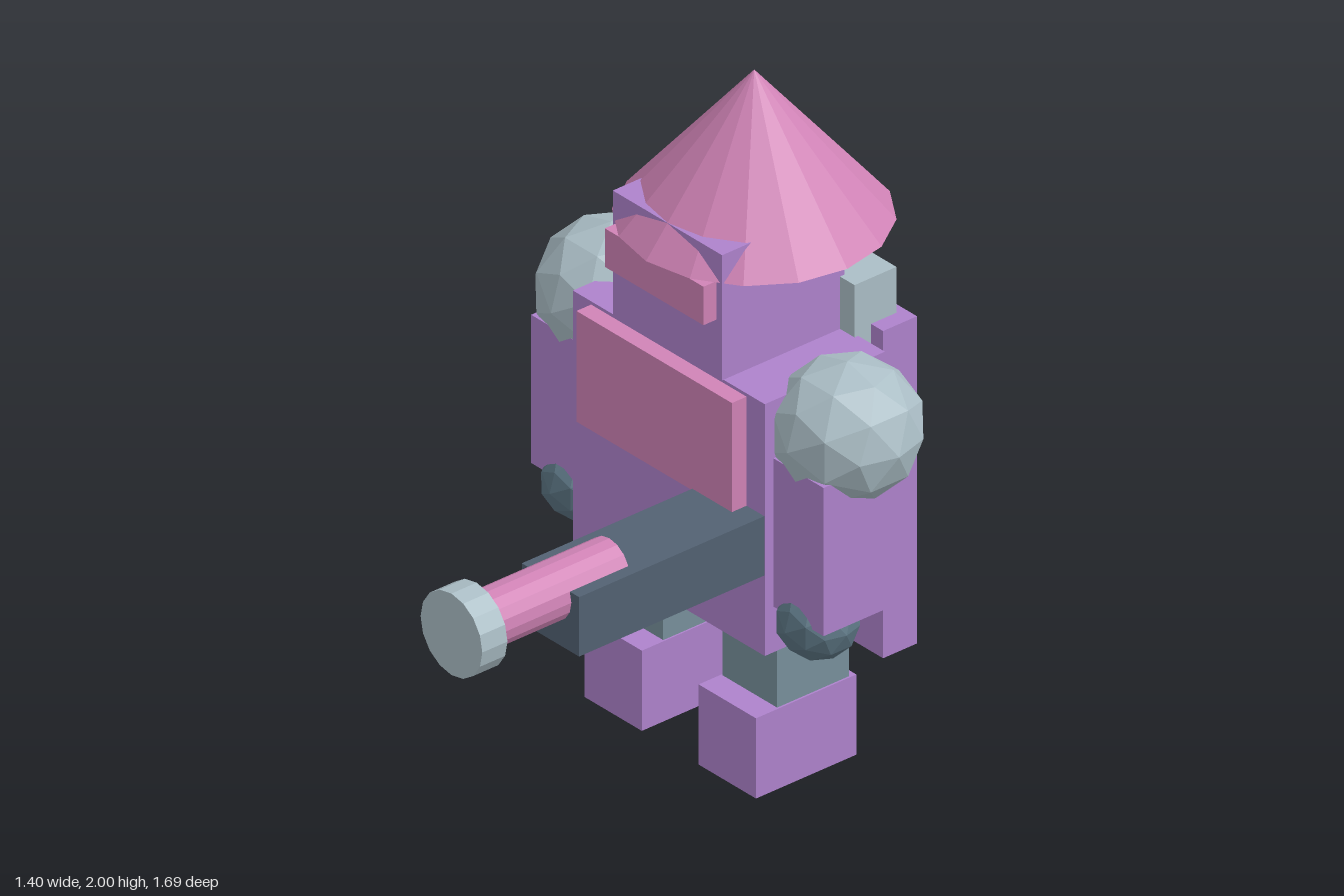
import * as THREE from 'three';

const material = (name, color) => {
  const m = new THREE.MeshStandardMaterial({ color, flatShading: true });
  m.name = name;
  return m;
};

export function createModel() {
  const model = new THREE.Group();
  model.name = 'robot';

  const purple = material('purple', 0xae82cc);
  const pink = material('pink', 0xd083b6);
  const paleGrey = material('pale blue grey', 0xabbec6);
  const midGrey = material('mid blue grey', 0x78909c);
  const slate = material('slate', 0x5b7482);
  const gunmetal = material('gunmetal', 0x526172);

  const add = (name, geometry, mat, x, y, z) => {
    const mesh = new THREE.Mesh(geometry, mat);
    mesh.name = name;
    mesh.position.set(x, y, z);
    model.add(mesh);
    return mesh;
  };

  // Box given by its limits on each axis
  const box = (name, mat, [x0, x1], [y0, y1], [z0, z1]) =>
    add(name, new THREE.BoxGeometry(x1 - x0, y1 - y0, z1 - z0), mat,
      (x0 + x1) / 2, (y0 + y1) / 2, (z0 + z1) / 2);

  // Faceted ball, slightly squat
  const ball = (name, mat, r, x, y, z) =>
    add(name, new THREE.IcosahedronGeometry(r, 1).scale(1, 0.955, 1), mat, x, y, z);

  // Cylinder lying along z
  const barrel = (name, mat, r, z0, z1) =>
    add(name, new THREE.CylinderGeometry(r, r, z1 - z0, 16).rotateX(Math.PI / 2), mat,
      0.277, 0.868, (z0 + z1) / 2);

  // Torso and head
  box('torso', purple, [-0.395, 0.395], [0.465, 1.25], [-0.585, -0.16]);
  box('chestPlate', pink, [-0.32, 0.32], [0.895, 1.24], [-0.16, -0.108]);
  box('head', purple, [-0.225, 0.225], [1.25, 1.64], [-0.588, -0.155]);
  box('visor', pink, [-0.203, 0.203], [1.43, 1.55], [-0.155, -0.108]);
  add('pointedHat', new THREE.ConeGeometry(0.383, 0.45, 16), pink, 0, 1.775, -0.462);

  // Cape and collar
  box('cape', purple, [-0.335, 0.335], [0.25, 1.27], [-0.75, -0.63]);
  box('collar', paleGrey, [-0.285, 0.285], [1.07, 1.413], [-0.72, -0.572]);

  // Limbs on both sides
  for (const [side, s] of [['left', 1], ['right', -1]]) {
    const span = (a, b) => (s > 0 ? [a, b] : [-b, -a]);
    ball(side + 'Shoulder', paleGrey, 0.214, s * 0.486, 1.138, -0.374);
    box(side + 'Arm', purple, span(0.37, 0.602), [0.608, 1.07], [-0.435, -0.19]);
    ball(side + 'Hand', slate, 0.118, s * 0.484, 0.578, -0.272);
    box(side + 'Leg', midGrey, span(0.122, 0.347), [0.25, 0.465], [-0.5, -0.245]);
    box(side + 'Foot', purple, span(0.117, 0.353), [0, 0.25], [-0.52, -0.165]);
  }

  // Cannon reaching forward from the torso
  box('cannonBody', gunmetal, [0.157, 0.393], [0.715, 0.9], [-0.17, 0.495]);
  barrel('cannonBarrel', pink, 0.084, 0.288, 0.76);
  barrel('cannonMuzzle', paleGrey, 0.127, 0.758, 0.847);

  return model;
}
